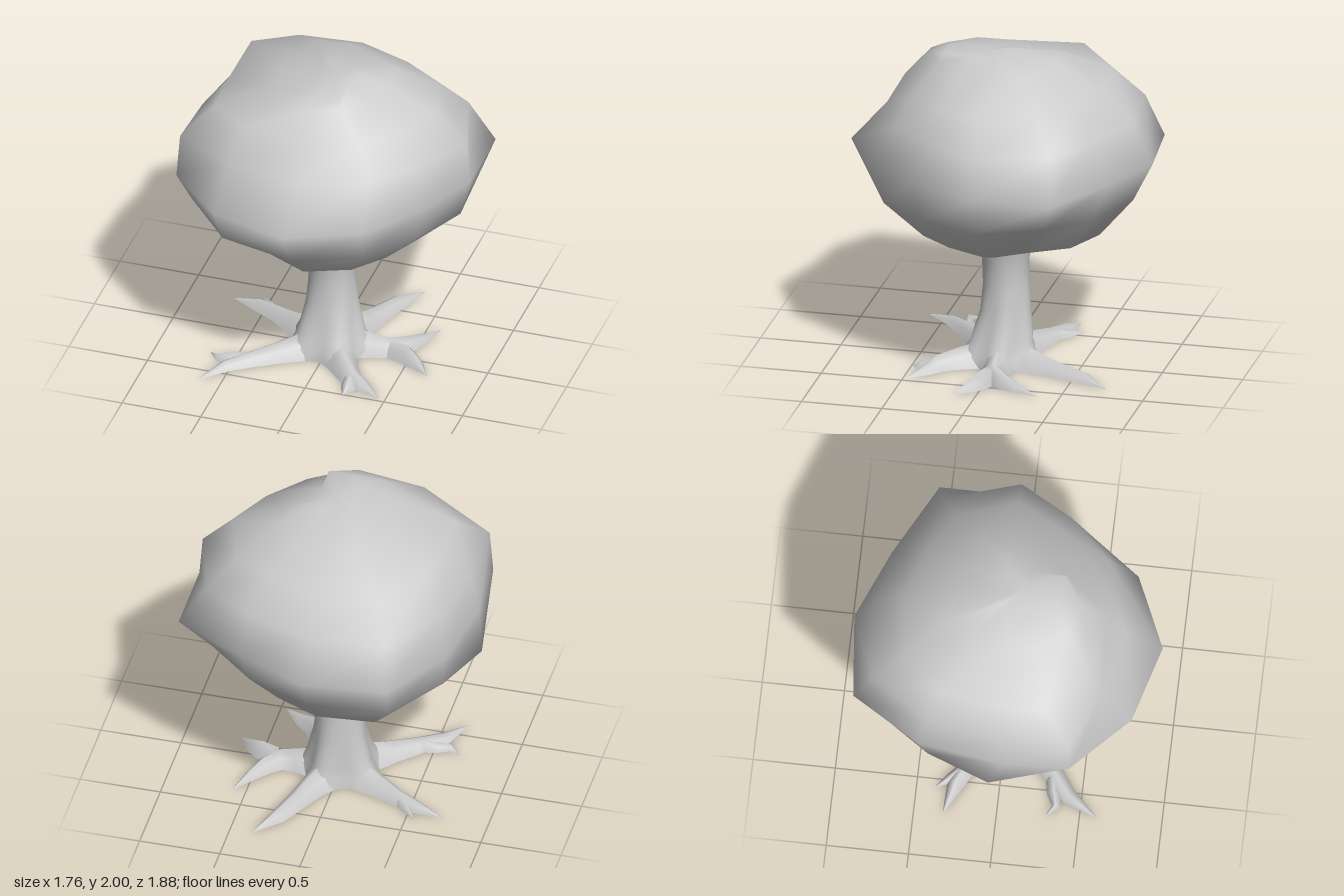
import * as THREE from 'three';
import { mergeVertices } from 'three/addons/utils/BufferGeometryUtils.js';

// Skin a list of cross-sections (arrays of [x, y, z]) with smooth normals.
function loft(rings, closed) {
  const n = rings[0].length;
  const index = [];
  for (let r = 0; r < rings.length - 1; r++) {
    for (let i = 0; i < (closed ? n : n - 1); i++) {
      const a = r * n + i, b = r * n + (i + 1) % n;
      index.push(a, a + n, b, b, a + n, b + n);
    }
  }
  let geometry = new THREE.BufferGeometry();
  geometry.setAttribute('position', new THREE.Float32BufferAttribute(rings.flat(2), 3));
  geometry.setIndex(index);
  geometry = mergeVertices(geometry);
  geometry.computeVertexNormals();
  return geometry;
}

// Leaf crown: one lumpy plan outline, fitted to the extents of each level.
function crownGeometry() {
  const outline = [
    [0, -0.94], [0.43, -0.76], [0.88, -0.52], [0.88, -0.02], [0.7, 0.39], [0.44, 0.74],
    [0, 0.935], [-0.48, 0.8], [-0.83, 0.46], [-0.85, 0.05], [-0.77, -0.47], [-0.51, -0.89],
  ];
  // y, -x, +x, -z, +z extents
  const levels = [
    [0.77, 0, 0, 0, 0],
    [0.76, 0.18, 0.18, 0.2, 0.17],
    [0.855, 0.6, 0.54, 0.61, 0.53],
    [1.1, 0.82, 0.82, 0.82, 0.8],
    [1.34, 0.85, 0.88, 0.94, 0.935],
    [1.6, 0.8, 0.86, 0.82, 0.71],
    [1.79, 0.65, 0.67, 0.63, 0.6],
    [1.95, 0.3, 0.35, 0.36, 0.44],
    [2, 0.06, 0.2, 0.06, 0.32],
    [2, 0, 0, 0, 0],
  ];
  const rings = levels.map(([y, xn, xp, zn, zp]) => outline.map(([x, z]) => [
    x * (x < 0 ? xn / 0.85 : xp / 0.88), y, z * (z < 0 ? zn / 0.94 : zp / 0.935),
  ]));
  // Underside sags to one side
  rings[1][3][1] = 0.72;
  rings[1][7][1] = rings[1][8][1] = 0.785;
  rings[2][7] = [-0.28, 0.87, 0.41];
  rings[2][8] = [-0.5, 0.9, 0.21];
  rings[2][10] = [-0.52, 0.87, -0.29];
  // Back corner narrows to a point at mid height
  rings[2][2] = [0.42, 0.855, -0.24];
  rings[3][2] = [0.69, 1.12, -0.43];
  rings[5][2] = [0.72, 1.6, -0.48];
  rings[6][2] = [0.56, 1.77, -0.37];
  // Individual lumps and dents
  rings[3][8] = [-0.75, 1.15, 0.4];
  rings[3][9] = [-0.885, 1.09, -0.03];
  rings[5][8] = [-0.81, 1.62, 0.45];
  rings[6][7] = [-0.38, 1.825, 0.53];
  rings[6][10] = [-0.62, 1.845, -0.36];
  rings[7][10] = [-0.24, 1.93, -0.2];
  rings[8][5] = [0.16, 2, 0.32];
  for (const p of rings[9]) p[0] = 0.06, p[2] = 0.1;
  return loft(rings, true);
}

// Trunk: swells at the top, spreads into lobes at the base.
const ROOT_ANGLES = [2.45, -2.67, 0.95, -0.08, -1.12];
function trunkGeometry() {
  // y, radius, lobe depth, z shift
  const levels = [
    [0, 0.2, 0.08, 0], [0.07, 0.19, 0.07, 0], [0.14, 0.172, 0.04, -0.01], [0.33, 0.152, 0.01, -0.03],
    [0.5, 0.142, 0, -0.03], [0.66, 0.143, 0, -0.025], [0.8, 0.185, 0, -0.02],
  ];
  const sides = 30;
  return loft(levels.map(([y, radius, lobe, dz]) => Array.from({ length: sides }, (_, i) => {
    const t = i / sides * Math.PI * 2;
    const near = Math.max(...ROOT_ANGLES.map((a) => Math.cos(t - a)));
    const r = radius + lobe * Math.pow(Math.max(near, 0), 10);
    return [Math.cos(t) * r, y, Math.sin(t) * r + dz];
  })), true);
}

// Root: open-bottomed ridge along stations of [x, z, half width, height].
function rootGeometry(path) {
  const rings = path.map(([x, z, w, h], i) => {
    const a = path[Math.max(i - 1, 0)], b = path[Math.min(i + 1, path.length - 1)];
    const d = new THREE.Vector2(b[0] - a[0], b[1] - a[1]).normalize();
    return [[-1, 0], [-0.6, 0.65], [0, 1], [0.6, 0.65], [1, 0]].map(([s, k]) => [
      x + d.y * s * w, h * k, z - d.x * s * w,
    ]);
  });
  return loft(rings, false);
}

const ROOTS = {
  leftFrontOfTrunk: [
    [[-0.16, 0.13, 0.11, 0.13], [-0.26, 0.21, 0.085, 0.1], [-0.4, 0.32, 0.065, 0.07], [-0.53, 0.43, 0.05, 0.045], [-0.64, 0.6, 0.004, 0.002]],
    [[-0.42, 0.31, 0.04, 0.06], [-0.52, 0.33, 0.04, 0.055], [-0.6, 0.35, 0.025, 0.035], [-0.66, 0.3, 0.004, 0.005]],
  ],
  leftBackOfTrunk: [
    [[-0.17, -0.09, 0.11, 0.13], [-0.27, -0.14, 0.085, 0.1], [-0.4, -0.21, 0.06, 0.075], [-0.53, -0.27, 0.05, 0.06], [-0.71, -0.32, 0.004, 0.003]],
    [[-0.41, -0.22, 0.04, 0.065], [-0.48, -0.29, 0.035, 0.045], [-0.55, -0.38, 0.004, 0.003]],
  ],
  frontOfTrunk: [
    [[0.11, 0.15, 0.11, 0.13], [0.17, 0.24, 0.085, 0.11], [0.25, 0.34, 0.07, 0.085], [0.34, 0.39, 0.05, 0.05], [0.46, 0.48, 0.004, 0.002]],
    [[0.24, 0.35, 0.05, 0.075], [0.25, 0.43, 0.045, 0.05], [0.24, 0.5, 0.004, 0.002]],
  ],
  rightOfTrunk: [
    [[0.18, -0.02, 0.11, 0.14], [0.27, -0.03, 0.085, 0.12], [0.37, -0.04, 0.07, 0.105], [0.45, -0.12, 0.06, 0.085], [0.51, -0.22, 0.04, 0.05], [0.58, -0.36, 0.004, 0.002]],
    [[0.38, -0.02, 0.055, 0.1], [0.49, 0.01, 0.055, 0.105], [0.57, 0.06, 0.045, 0.065], [0.655, 0.14, 0.004, 0.002]],
  ],
  backOfTrunk: [
    [[0.09, -0.18, 0.11, 0.135], [0.13, -0.27, 0.085, 0.11], [0.18, -0.4, 0.07, 0.08], [0.25, -0.57, 0.055, 0.06], [0.36, -0.74, 0.004, 0.002]],
  ],
};

export function createModel() {
  const tree = new THREE.Group();
  tree.name = 'tree';
  const material = new THREE.MeshStandardMaterial({ color: 0xcccccc, side: THREE.DoubleSide });
  const add = (parent, name, geometry) => {
    const mesh = new THREE.Mesh(geometry, material);
    mesh.name = name;
    parent.add(mesh);
  };
  add(tree, 'leafCrown', crownGeometry());
  add(tree, 'trunk', trunkGeometry());
  for (const [name, branches] of Object.entries(ROOTS)) {
    const root = new THREE.Group();
    root.name = `root ${name}`;
    branches.forEach((path, i) => add(root, i ? 'rootFork' : 'mainRoot', rootGeometry(path)));
    tree.add(root);
  }
  return tree;
}
